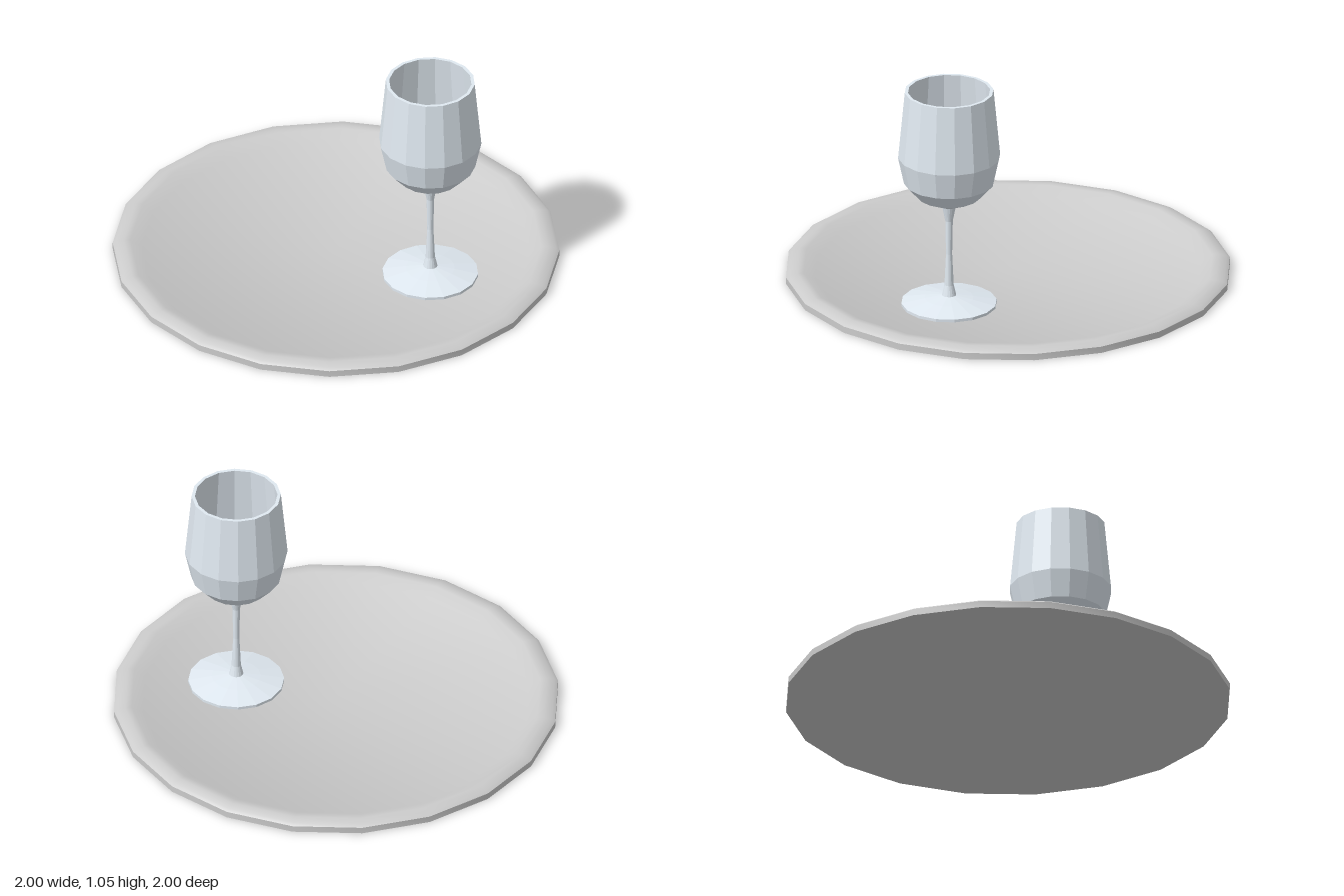
import * as THREE from 'three';
import { toCreasedNormals } from 'three/addons/utils/BufferGeometryUtils.js';

const trayMaterial = new THREE.MeshStandardMaterial({ color: 0xcccccc });
const glassMaterial = new THREE.MeshStandardMaterial({ color: 0xe0e9f1, flatShading: true });

// Turned part from a [radius, height] profile, listed from the bottom up
function turned(name, profile, sides, material) {
  const points = profile.map(([r, y]) => new THREE.Vector2(r, y));
  let geometry = new THREE.LatheGeometry(points, sides);
  if (!material.flatShading) geometry = toCreasedNormals(geometry, 0.9);
  const mesh = new THREE.Mesh(geometry, material);
  mesh.name = name;
  return mesh;
}

export function createModel() {
  const model = new THREE.Group();
  model.name = 'glassOnTray';

  // Round tray with a soft raised rim and a shallow floor
  model.add(turned('tray', [
    [0, 0], [1, 0], [1, 0.03], [0.985, 0.04], [0.95, 0.047],
    [0.92, 0.047], [0.87, 0.016], [0, 0.016],
  ], 20, trayMaterial));

  const glass = new THREE.Group();
  glass.name = 'wineGlass';
  glass.position.set(0.35, 0, 0.307);
  model.add(glass);

  // Shallow cone foot
  glass.add(turned('foot', [
    [0, 0.016], [0.215, 0.016], [0.215, 0.029], [0.11, 0.049], [0.032, 0.061],
  ], 16, glassMaterial));

  // Slim stem flaring at both ends
  glass.add(turned('stem', [
    [0.032, 0.061], [0.021, 0.11], [0.014, 0.26], [0.017, 0.42], [0.032, 0.495],
  ], 16, glassMaterial));

  // Bowl: outer wall up to the lip, then inner wall down to a flat bottom
  glass.add(turned('bowl', [
    [0, 0.49], [0.032, 0.49], [0.14, 0.54], [0.203, 0.61], [0.23, 0.735], [0.2, 1.05],
    [0.185, 1.05], [0.215, 0.735], [0.19, 0.62], [0, 0.62],
  ], 16, glassMaterial));

  return model;
}
